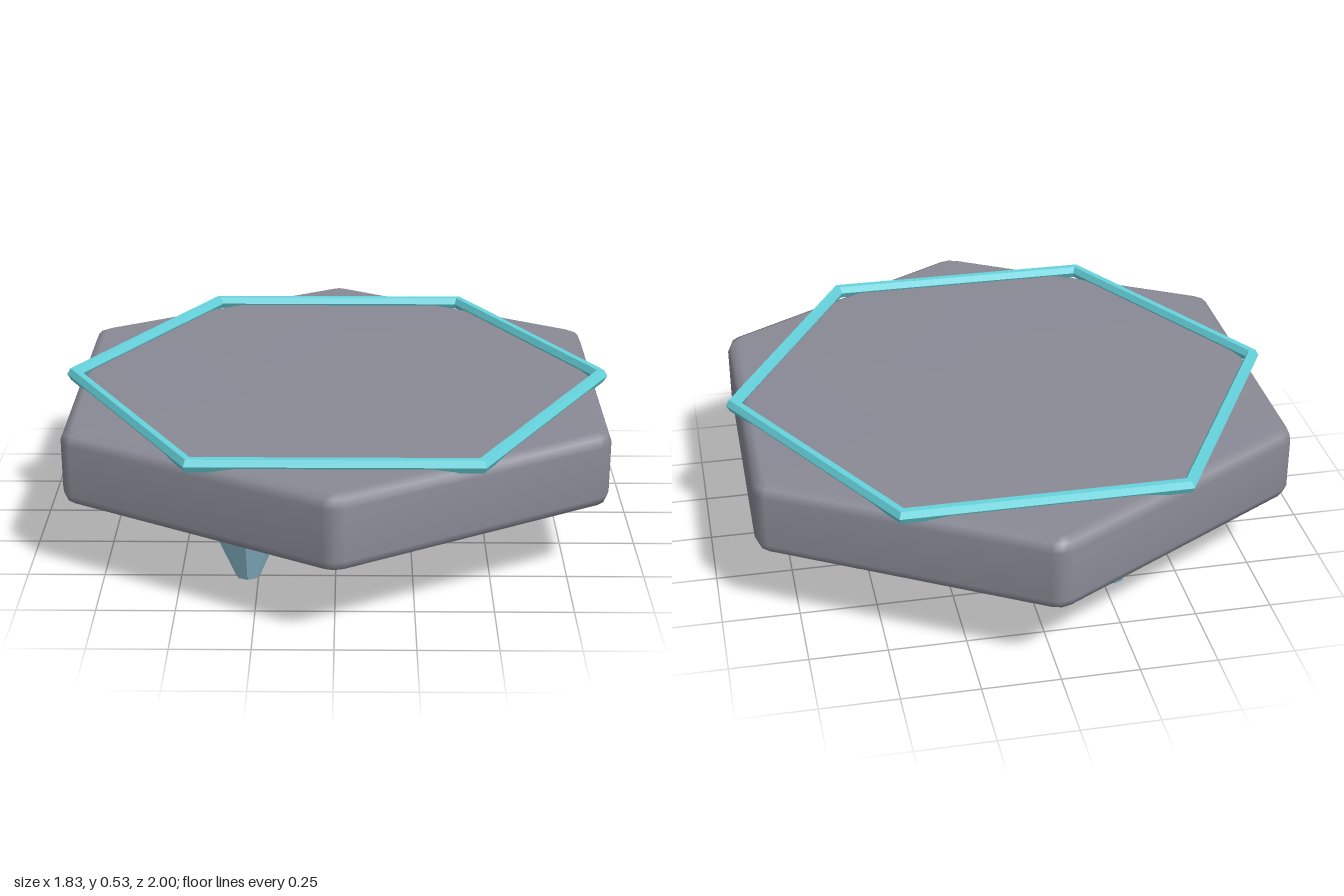
import * as THREE from 'three';

// Softly bevelled hexagonal slab: stacked rounded-hexagon loops, capped at both ends
function slabGeometry() {
  const apothem = 0.875, round = 0.07;
  const centre = (apothem - round) / Math.cos(Math.PI / 6);
  // [height, inset from the side]
  const profile = [[0.25, 0.04], [0.262, 0.012], [0.29, 0], [0.462, 0], [0.49, 0.012], [0.502, 0.04]];
  const n = 18, pos = [], index = [];
  for (const [y, inset] of profile) {
    for (let k = 0; k < 6; k++) {
      const corner = Math.PI / 6 + k * Math.PI / 3;
      for (let j = -1; j <= 1; j++) {
        const dir = corner + j * Math.PI / 6, r = round - inset;
        pos.push(centre * Math.cos(corner) + r * Math.cos(dir), y,
          centre * Math.sin(corner) + r * Math.sin(dir));
      }
    }
  }
  const last = profile.length - 1, bottom = n * profile.length, top = bottom + 1;
  pos.push(0, profile[0][0], 0, 0, profile[last][0], 0);
  for (let i = 0; i < n; i++) {
    const next = (i + 1) % n;
    for (let l = 0; l < last; l++) {
      const a = l * n + i, b = l * n + next;
      index.push(a, a + n, b, b, a + n, b + n);
    }
    index.push(bottom, i, next, top, last * n + next, last * n + i);
  }
  const geo = new THREE.BufferGeometry();
  geo.setAttribute('position', new THREE.Float32BufferAttribute(pos, 3));
  geo.setIndex(index);
  geo.computeVertexNormals();
  return geo;
}

export function createModel() {
  const group = new THREE.Group();
  const add = (name, geo, color, flatShading) => {
    const mesh = new THREE.Mesh(geo, new THREE.MeshStandardMaterial({ color, flatShading }));
    mesh.name = name;
    group.add(mesh);
    return mesh;
  };

  add('slab', slabGeometry(), 0x8a8a96, false);

  // Thin hexagonal ring lying on top, turned against the slab
  const ring = add('topRing', new THREE.TorusGeometry(0.891, 0.024, 6, 6), 0x66d4de, true);
  ring.rotation.x = Math.PI / 2;
  ring.position.y = 0.508;

  // Three tapered eight-sided feet
  const foot = new THREE.CylinderGeometry(0.152, 0.04, 0.26, 8);
  for (let i = 0; i < 3; i++) {
    const a = i * Math.PI * 2 / 3;
    add('foot' + (i + 1), foot, 0x93c4d8, true)
      .position.set(0.57 * Math.cos(a), 0.13, 0.57 * Math.sin(a));
  }
  return group;
}
